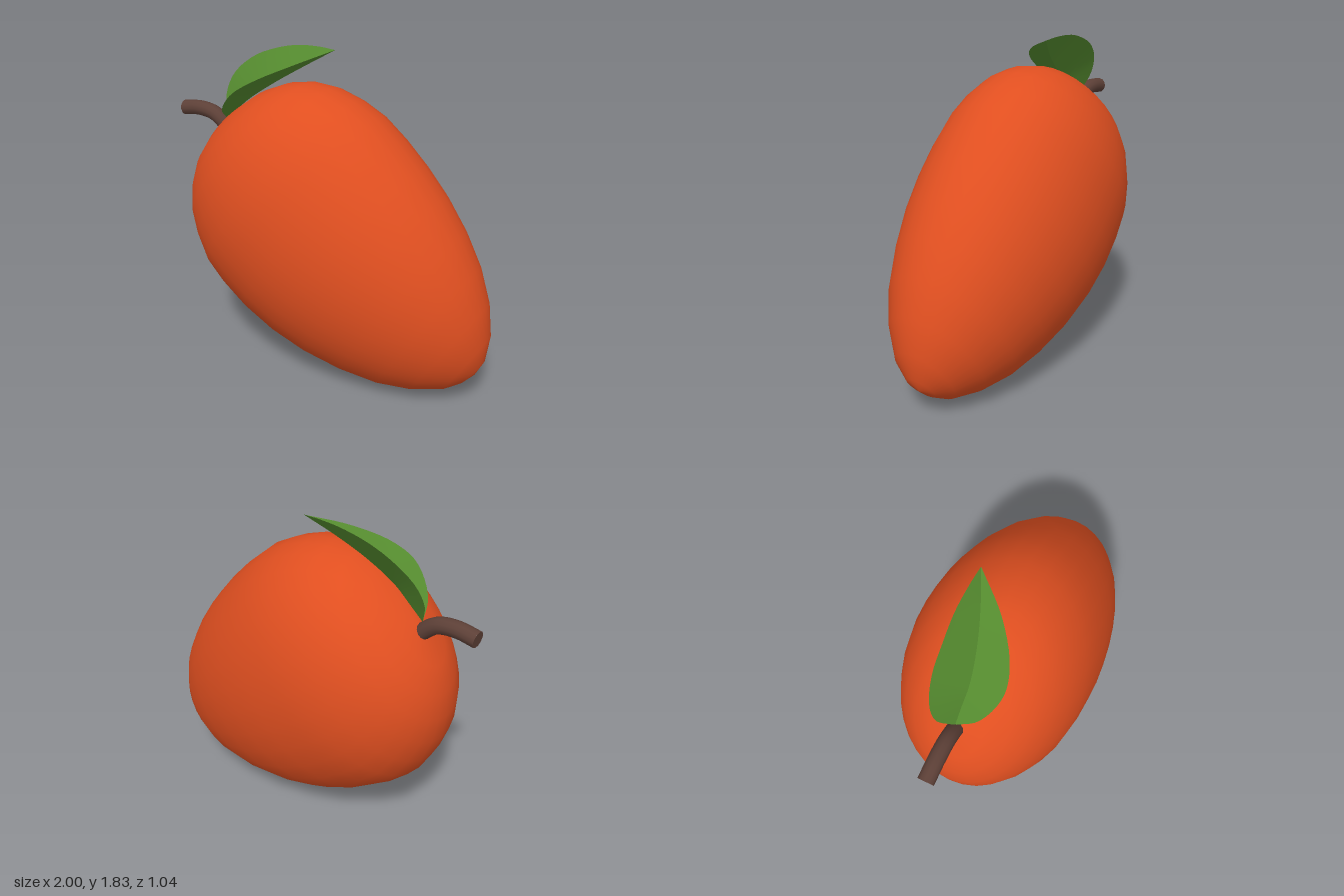
import * as THREE from 'three';

const skin = new THREE.MeshStandardMaterial({ color: 0xe04f20 });
skin.name = 'orange skin';
const bark = new THREE.MeshStandardMaterial({ color: 0x5d4037 });
bark.name = 'brown bark';
const green = new THREE.MeshStandardMaterial({ color: 0x558b2f, side: THREE.DoubleSide });
green.name = 'leaf green';

// Skins rows of points; closed rows wrap around
function loft(rows, closed) {
  const n = rows[0].length;
  const index = [];
  for (let i = 0; i < rows.length - 1; i++) {
    for (let j = 0; j < (closed ? n : n - 1); j++) {
      const k = (j + 1) % n;
      const a = i * n + j, b = i * n + k, c = a + n, d = b + n;
      index.push(a, b, c, b, d, c);
    }
  }
  const geometry = new THREE.BufferGeometry().setFromPoints(rows.flat());
  geometry.setIndex(index);
  geometry.computeVertexNormals();
  return geometry;
}

function addMesh(group, name, geometry, material) {
  const mesh = new THREE.Mesh(geometry, material);
  mesh.name = name;
  group.add(mesh);
}

const curve = (points) => new THREE.CatmullRomCurve3(points.map((p) => new THREE.Vector3(...p)));

// Fruit: elliptical rings between an upper and a lower outline, stem end to tip
function fruitGeometry() {
  const upper = [
    [-0.67, 1.37], [-0.55, 1.49], [-0.4, 1.59], [-0.26, 1.645], [-0.12, 1.665], [0.02, 1.65],
    [0.16, 1.6], [0.29, 1.53], [0.42, 1.42], [0.55, 1.29], [0.68, 1.14], [0.8, 0.97],
    [0.9, 0.79], [0.97, 0.6], [1.0, 0.42], [0.985, 0.27], [0.94, 0.18],
  ];
  const lower = [
    [-0.67, 1.37], [-0.8, 1.19], [-0.85, 1.05], [-0.865, 0.91], [-0.85, 0.77], [-0.8, 0.63],
    [-0.73, 0.5], [-0.62, 0.39], [-0.46, 0.27], [-0.27, 0.165], [-0.06, 0.085], [0.17, 0.03],
    [0.4, 0.003], [0.6, 0.015], [0.78, 0.06], [0.87, 0.115], [0.94, 0.18],
  ];
  const sides = 32;
  const rows = upper.map(([ux, uy], i) => {
    const [lx, ly] = lower[i];
    const hx = (ux - lx) / 2, hy = (uy - ly) / 2;
    const flatness = 0.705 + 0.013 * Math.max(0, i - 7);
    const w = Math.hypot(hx, hy) * flatness;
    return Array.from({ length: sides }, (_, j) => {
      const a = (j / sides) * Math.PI * 2;
      return new THREE.Vector3(
        (ux + lx) / 2 + hx * Math.cos(a),
        (uy + ly) / 2 + hy * Math.cos(a),
        w * Math.sin(a),
      );
    });
  });
  return loft(rows, true);
}

// Stem: bent tube with a flat cut end
function addStem(group) {
  const path = curve([[-0.99, 1.41, 0], [-0.88, 1.423, 0], [-0.77, 1.405, 0], [-0.69, 1.345, 0], [-0.63, 1.27, 0]]);
  addMesh(group, 'stem', new THREE.TubeGeometry(path, 16, 0.044, 12), bark);
  const cap = new THREE.CircleGeometry(0.044, 12);
  const outward = path.getTangent(0).negate();
  cap.applyQuaternion(new THREE.Quaternion().setFromUnitVectors(new THREE.Vector3(0, 0, 1), outward));
  cap.translate(-0.99, 1.41, 0);
  addMesh(group, 'stemCutEnd', cap, bark);
}

// Leaf: two halves folded along the midrib
function addLeaf(group) {
  const base = [-0.68, 1.39, 0], tip = [-0.04, 1.825, -0.15];
  const midrib = curve([base, [-0.6, 1.457, 0], [-0.5, 1.537, 0], [-0.35, 1.638, -0.03], [-0.2, 1.73, -0.08], tip]);
  const frontEdge = curve([base, [-0.63, 1.47, 0.11], [-0.5, 1.595, 0.18], [-0.37, 1.675, 0.15], [-0.2, 1.755, 0.03], tip]);
  const backEdge = curve([
    base, [-0.727, 1.53, -0.07], [-0.69, 1.64, -0.11], [-0.58, 1.735, -0.14],
    [-0.45, 1.79, -0.15], [-0.3, 1.825, -0.16], [-0.15, 1.832, -0.157], tip,
  ]);
  const half = (from, to) => {
    const rows = Array.from({ length: 25 }, (_, i) => {
      const a = from.getPoint(i / 24), b = to.getPoint(i / 24);
      return [0, 0.25, 0.5, 0.75, 1].map((s) => a.clone().lerp(b, s));
    });
    return loft(rows, false);
  };
  addMesh(group, 'leafFrontHalf', half(midrib, frontEdge).toNonIndexed(), green);
  addMesh(group, 'leafBackHalf', half(backEdge, midrib).toNonIndexed(), green);
}

export function createModel() {
  const model = new THREE.Group();
  model.name = 'fruit';
  addMesh(model, 'fruitBody', fruitGeometry(), skin);
  addStem(model);
  const leaf = new THREE.Group();
  leaf.name = 'leaf';
  addLeaf(leaf);
  model.add(leaf);
  return model;
}
